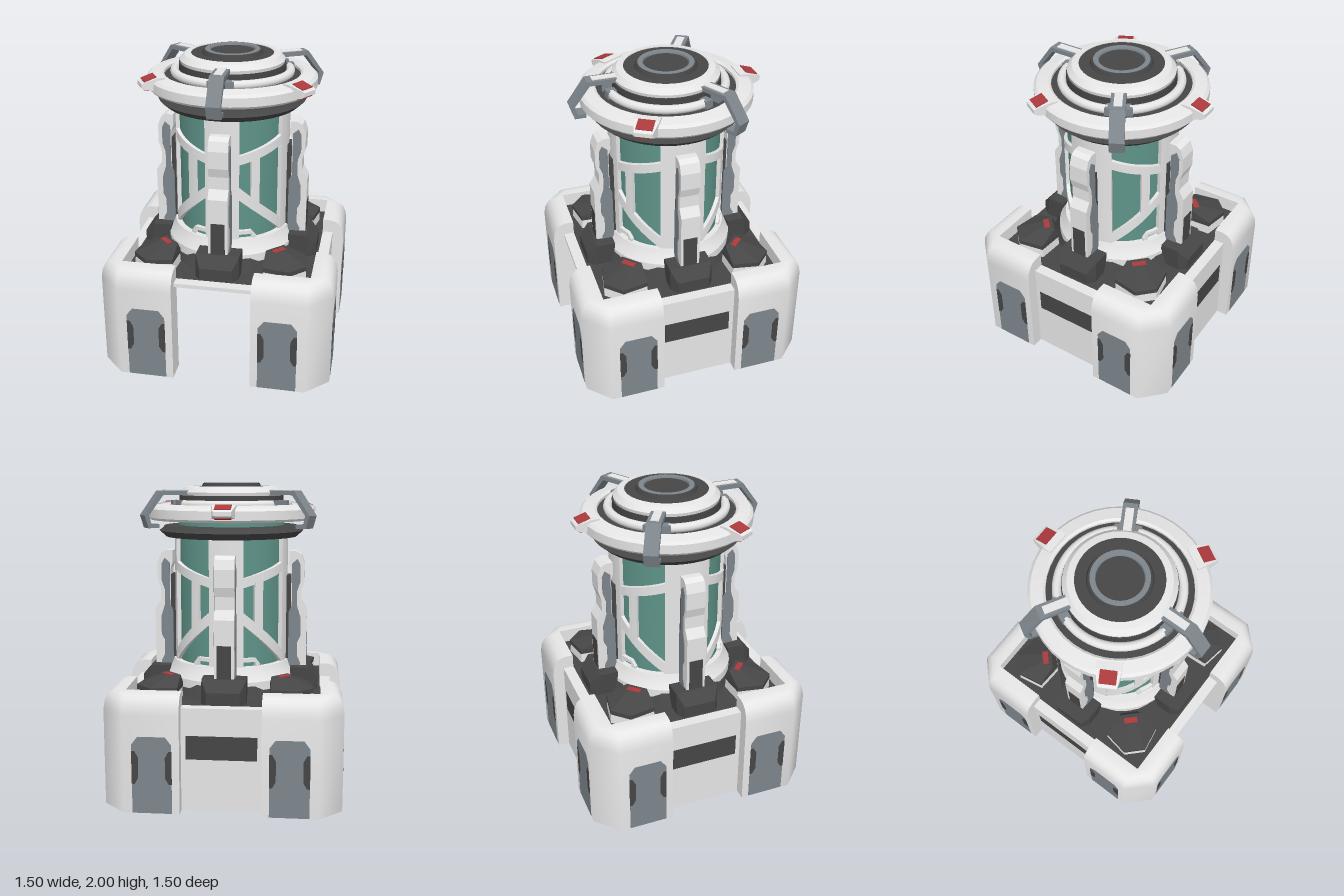
import * as THREE from 'three';
import { toCreasedNormals } from 'three/addons/utils/BufferGeometryUtils.js';
import { ConvexGeometry } from 'three/addons/geometries/ConvexGeometry.js';

// double-sided because the corner walls are open underneath
const mat = (name, color) => {
  const m = new THREE.MeshStandardMaterial({ color, side: THREE.DoubleSide });
  m.name = name;
  return m;
};

export function createModel() {
  const light = mat('light shell', 0xe6e6e6), dark = mat('dark metal', 0x464646);
  const slate = mat('slate trim', 0x7e868c), teal = mat('teal glass', 0x5e9388), red = mat('red lamp', 0xac3a3c);
  const model = new THREE.Group();
  model.name = 'containmentTower';

  // ---- helpers ----
  const add = (parent, name, geo, m) => {
    const mesh = new THREE.Mesh(geo, m);
    mesh.name = name;
    parent.add(mesh);
    return mesh;
  };
  const turned = (name, angle) => {
    const g = new THREE.Group();
    g.name = name;
    g.rotation.y = angle;
    model.add(g);
    return g;
  };
  const box = (x0, x1, y0, y1, z0, z1) => new THREE.BoxGeometry(x1 - x0, y1 - y0, z1 - z0)
    .translate((x0 + x1) / 2, (y0 + y1) / 2, (z0 + z1) / 2);
  const shape = pts => new THREE.Shape(pts.map(p => new THREE.Vector2(...p)));
  const plate = (pts, z0, z1) => new THREE.ExtrudeGeometry(shape(pts), { depth: z1 - z0, bevelEnabled: false }).translate(0, 0, z0);
  // side profile (radius, y) given a width across x
  const profile = (pts, w) => plate(pts, -w / 2, w / 2).rotateY(-Math.PI / 2);
  const hull = pts => new ConvexGeometry(pts.map(p => new THREE.Vector3(...p)));
  // block symmetric in x from rows of [half width, y, z]
  const mirrorHull = rows => hull(rows.flatMap(([x, y, z]) => [[x, y, z], [-x, y, z]]));
  const lathe = (name, pts, m) => add(model, name, toCreasedNormals(
    new THREE.LatheGeometry(pts.map(p => new THREE.Vector2(...p)), 40), 0.5), m);
  // curved slab on the tower wall between two angles in degrees
  const slab = (t0, b0, h0, t1, b1, h1, rIn, rOut) => {
    const g = new THREE.BoxGeometry(1, 1, 1, 10, 1, 1), p = g.attributes.position;
    for (let i = 0; i < p.count; i++) {
      const u = p.getX(i) + 0.5, v = p.getY(i) + 0.5, r = rIn + (rOut - rIn) * (p.getZ(i) + 0.5);
      const a = THREE.MathUtils.degToRad(t0 + (t1 - t0) * u);
      const y = (b0 + (b1 - b0) * u) * (1 - v) + (h0 + (h1 - h0) * u) * v;
      p.setXYZ(i, r * Math.sin(a), y, r * Math.cos(a));
    }
    g.computeVertexNormals();
    return g;
  };

  // ---- corner armour: L-shaped walls, rounded top rim, open underneath ----
  const cornerGeometry = () => {
    const pos = [], idx = [], layers = [[0, 0], [0.62, 0], [0.67, 0.008], [0.71, 0.026], [0.735, 0.055], [0.745, 0.09]];
    for (const [y, d] of layers) {
      const D = 0.745 - d, k = 0.6 - d * 0.3;
      for (const [x, z] of [[0.25, D], [k, D], [D, k], [D, 0.25], [0.6, 0.25], [0.6, 0.6], [0.25, 0.6]]) pos.push(x, y, z);
    }
    const top = (layers.length - 1) * 7;
    for (let l = 0; l < top; l += 7) for (let i = 0; i < 7; i++) {
      const a = l + i, b = l + (i + 1) % 7;
      idx.push(a, b, b + 7, a, b + 7, a + 7);
    }
    for (const tri of [[0, 1, 5], [0, 5, 6], [1, 2, 5], [2, 3, 5], [3, 4, 5]]) idx.push(...tri.map(i => top + i));
    const g = new THREE.BufferGeometry();
    g.setAttribute('position', new THREE.Float32BufferAttribute(pos, 3));
    g.setIndex(idx);
    return toCreasedNormals(g, 0.9);
  };
  const corner = cornerGeometry();
  const padOutline = [[0.29, 0.53], [0.46, 0.56], [0.56, 0.46], [0.53, 0.29], [0.36, 0.28], [0.28, 0.36]];
  const padRidge = [[0.29, 0.39], [0.39, 0.29], [0.41, 0.37], [0.37, 0.41]];
  for (let k = 0; k < 4; k++) {
    const g = turned('cornerArmour', k * Math.PI / 2);
    add(g, 'cornerWall', corner, light);
    for (const s of [1, -1]) {
      const face = new THREE.Group();
      face.name = 'cornerInset';
      if (s < 0) face.rotation.y = Math.PI / 2;
      g.add(face);
      const c = 0.42 * s;
      for (const [z, t] of [[0.745, 1], [0.6, -1]]) {
        // thin plates flush with the wall, showing on both of its sides
        const span = d => [z - (t > 0 ? 0.003 : d), z + (t > 0 ? d : 0.003)];
        add(face, 'insetPanel', plate([[c - 0.123, 0.002], [c + 0.123, 0.002], [c + 0.123, 0.44], [c + 0.085, 0.49],
          [c - 0.085, 0.49], [c - 0.123, 0.44]], ...span(0.0015)), slate);
        for (const e of [1, -1]) add(face, 'insetSlot', plate([[0.124, 0.19], [0.124, 0.4], [0.105, 0.4], [0.083, 0.36],
          [0.083, 0.23], [0.105, 0.19]].map(([x, y]) => [c + e * x, y]), ...span(0.003)), dark);
      }
    }
    // corner pad overhanging its light base, with a red marker across the inner end
    add(g, 'padBase', hull(padOutline.flatMap(([x, z]) => [[x, 0.65, z], [x * 0.97 + 0.012, 0.72, z * 0.97 + 0.012]])), light);
    add(g, 'cornerPad', hull([...padOutline.flatMap(([x, z]) => [[x, 0.715, z], [x, 0.745, z]]),
      ...padRidge.map(([x, z]) => [x, 0.797, z])]), dark);
    const marker = add(g, 'padMarker', box(-0.045, 0.045, 0.793, 0.801, -0.018, 0.02), red);
    marker.position.set(0.37, 0, 0.37);
    marker.rotation.y = Math.PI / 4;
  }

  // ---- side panels; the front stays open below its sill ----
  for (let k = 0; k < 4; k++) {
    const g = turned('baseSide', k * Math.PI / 2);
    add(g, 'sidePanel', box(-0.255, 0.255, k ? 0 : 0.63, 0.655, 0.6, 0.67), light);
    if (k) add(g, 'panelPlate', box(-0.22, 0.22, 0.33, 0.48, 0.598, 0.672), dark);
  }
  add(model, 'deck', box(-0.6, 0.6, 0.625, 0.65, -0.6, 0.6), dark);
  add(model, 'underHub', new THREE.CylinderGeometry(0.185, 0.18, 0.1, 24).translate(0, 0.6, 0), dark);
  add(model, 'towerPlinth', new THREE.CylinderGeometry(0.44, 0.48, 0.08, 8).rotateY(Math.PI / 8).translate(0, 0.69, 0), dark);

  // ---- tower ----
  lathe('towerCollar', [[0.30, 0.70], [0.43, 0.70], [0.43, 0.755], [0.40, 0.8], [0.385, 0.845], [0.33, 0.845]], light);
  add(model, 'glassTube', new THREE.CylinderGeometry(0.348, 0.348, 0.97, 48).translate(0, 1.3, 0), teal);
  for (let k = 0; k < 4; k++) {
    const w = k % 2 ? 23 : 17;
    add(model, 'cagePost', slab(k * 90 - w, 0.84, 1.65, k * 90 + w, 0.84, 1.65, 0.34, 0.374), light);
  }
  const braces = [
    [16, 1.35, 1.41, 68, 1.44, 1.50],     // upper divider
    [16, 1.12, 1.20, 68, 0.84, 0.92],     // long diagonal
    [29, 1.06, 1.40, 38, 1.02, 1.42],     // short upright
    [16, 0.875, 0.90, 30, 0.875, 0.90],   // foot step
    [30, 0.84, 0.90, 35, 0.84, 0.86],     // foot step end
  ];
  for (const [t0, b0, h0, t1, b1, h1] of braces) for (const base of [0, 180]) {
    add(model, 'cageBrace', slab(base + t0, b0, h0, base + t1, b1, h1, 0.34, 0.372), light);
    add(model, 'cageBrace', slab(base - t1, b1, h1, base - t0, b0, h0, 0.34, 0.372), light);
  }

  // ---- four fins with their brackets ----
  for (let k = 0; k < 4; k++) {
    const g = turned('fin', k * Math.PI / 2);
    add(g, 'finSpine', profile([[0.36, 0.7], [0.415, 0.7], [0.415, 1.4], [0.36, 1.4]], 0.115), dark);
    add(g, 'finShell', profile([[0.40, 0.72], [0.505, 0.72], [0.505, 1.17], [0.468, 1.23], [0.468, 1.31], [0.487, 1.37],
      [0.487, 1.48], [0.465, 1.54], [0.43, 1.56], [0.385, 1.56], [0.385, 1.48], [0.40, 1.44]], 0.125), light);
    add(g, 'finSidePanel', profile([[0.385, 0.7], [0.465, 0.7], [0.465, 0.82], [0.445, 0.86], [0.445, 0.96], [0.465, 1.0],
      [0.465, 1.12], [0.44, 1.2], [0.44, 1.3], [0.46, 1.36], [0.46, 1.47], [0.44, 1.51], [0.405, 1.48], [0.405, 1.2], [0.385, 1.16]], 0.135), slate);
    add(g, 'finPlate', box(-0.045, 0.045, 0.77, 1.01, 0.5, 0.508), dark);
    add(g, 'bracket', mirrorHull([[0.14, 0.65, 0.40], [0.14, 0.80, 0.40], [0.14, 0.65, 0.535], [0.14, 0.80, 0.52],
      [0.105, 0.65, 0.585], [0.105, 0.73, 0.585]]), dark);
  }

  // ---- head ----
  lathe('gasket', [[0.33, 1.65], [0.43, 1.655], [0.475, 1.695], [0.455, 1.705], [0.44, 1.725], [0.33, 1.73]], dark);
  lathe('headUnderside', [[0, 1.775], [0.50, 1.775], [0.50, 1.80], [0.46, 1.835], [0.34, 1.845], [0.34, 1.92], [0, 1.92]], dark);
  lathe('headRing', [[0.44, 1.765], [0.53, 1.765], [0.543, 1.78], [0.543, 1.835], [0.525, 1.852], [0.45, 1.865], [0.435, 1.855], [0.435, 1.82]], light);
  lathe('crown', [[0, 1.915], [0.33, 1.915], [0.335, 1.94], [0.305, 1.972], [0.262, 1.978], [0.262, 1.96]], light);
  lathe('crownInset', [[0.275, 1.95], [0.262, 1.974], [0.195, 1.974], [0.185, 1.998], [0.172, 1.998], [0.172, 1.96]], dark);
  lathe('capRing', [[0.174, 1.97], [0.174, 2.0], [0.143, 2.0], [0.138, 1.985], [0.138, 1.97]], slate);
  add(model, 'capDisc', new THREE.CylinderGeometry(0.142, 0.142, 0.02, 40).translate(0, 1.978, 0), dark);

  for (let k = 0; k < 3; k++) {
    const a = k * Math.PI * 2 / 3;
    // clamp: slate strap bent round the rim, light bar on the arm
    const clamp = turned('clamp', a);
    add(clamp, 'clampStrap', profile([[0.29, 1.925], [0.49, 1.925], [0.587, 1.80], [0.572, 1.745], [0.52, 1.745], [0.52, 1.72],
      [0.592, 1.72], [0.617, 1.80], [0.505, 1.952], [0.29, 1.952]], 0.09), slate);
    add(clamp, 'clampBar', box(-0.025, 0.025, 1.93, 1.957, 0.28, 0.47), light);
    // lamp on the rim with a lens above and below
    const lamp = turned('lamp', a + Math.PI);
    add(lamp, 'lampHousing', mirrorHull([[0.075, 1.785, 0.46], [0.075, 1.87, 0.46], [0.075, 1.87, 0.51], [0.075, 1.785, 0.51],
      [0.06, 1.80, 0.59], [0.06, 1.845, 0.59], [0.055, 1.81, 0.607], [0.055, 1.835, 0.607]]), light);
    add(lamp, 'lampLens', profile([[0.51, 1.867], [0.588, 1.843], [0.589, 1.851], [0.512, 1.875]], 0.1), red);
    add(lamp, 'lampLensBelow', profile([[0.512, 1.78], [0.589, 1.794], [0.588, 1.802], [0.51, 1.788]], 0.1), red);
    // pipe arc centred on the lamp
    const pipe = new THREE.TorusGeometry(0.368, 0.028, 10, 28, THREE.MathUtils.degToRad(100))
      .rotateZ(THREE.MathUtils.degToRad(40)).rotateX(Math.PI / 2).translate(0, 1.865, 0);
    add(lamp, 'pipeArc', pipe, light);
    for (const s of [-1, 1]) add(lamp, 'pipeSocket', slab(s * 52 - 4, 1.84, 1.89, s * 52 + 4, 1.84, 1.89, 0.335, 0.4), slate);
  }
  return model;
}
